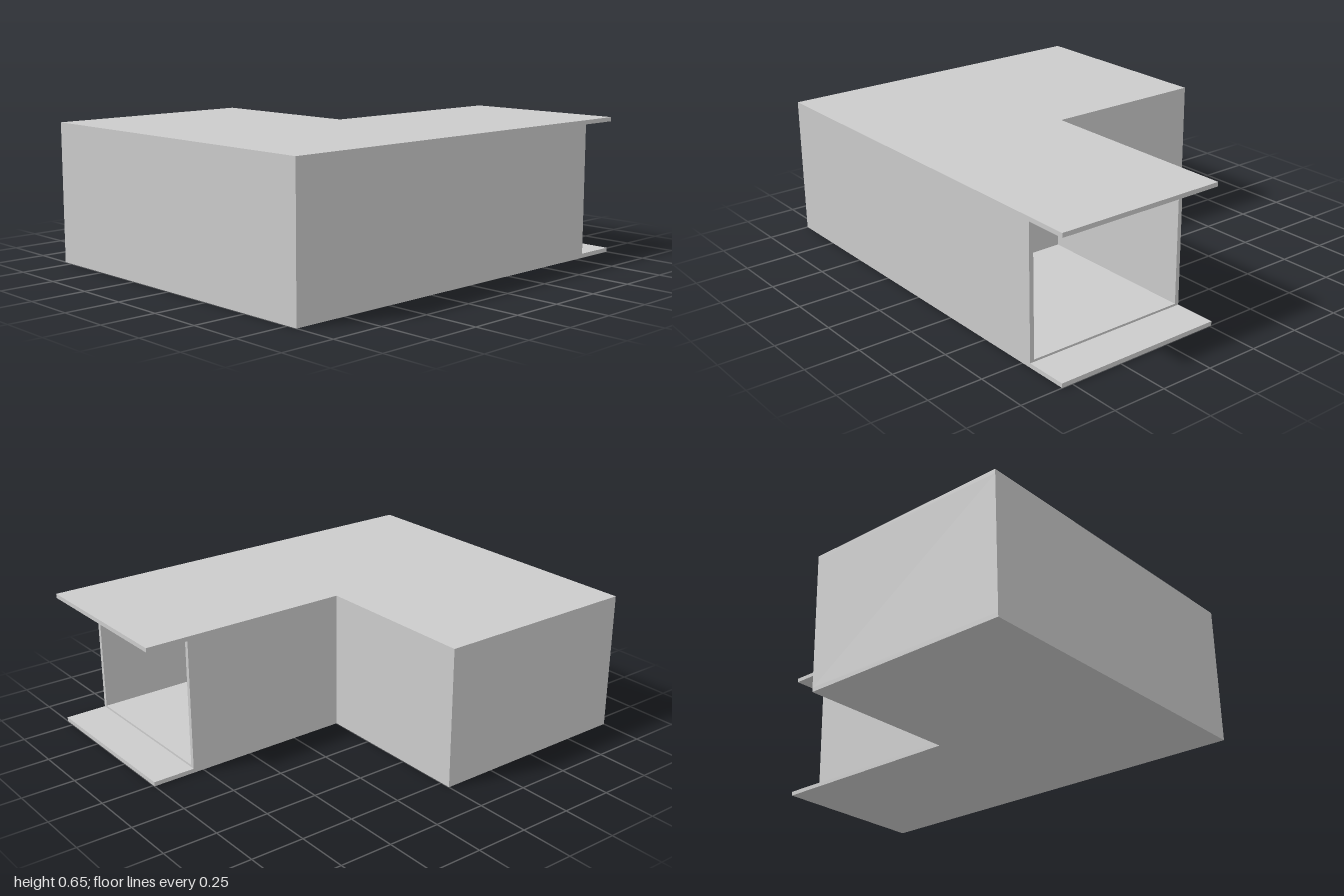
import * as THREE from 'three';

const WALL = 0.02, HEIGHT = 0.65, SLAB = 0.02, FINISH = 0.01;
const NOTCH_Z = -0.01; // rear face of the long wing
const OPEN_X = 0.8;    // walls stop here, slabs run on to x = 1

export function createModel() {
  const group = new THREE.Group();
  const material = new THREE.MeshStandardMaterial({ color: 0xcccccc, flatShading: true });

  const add = (name, geometry) => {
    const mesh = new THREE.Mesh(geometry, material);
    mesh.name = name;
    group.add(mesh);
    return mesh;
  };

  // Horizontal L-shaped plate; inset shrinks it inside the walls
  const plate = (name, y, thickness, endX, inset = 0) => {
    const outline = [
      [-1 + inset, -0.8 + inset], [-inset, -0.8 + inset], [-inset, NOTCH_Z + inset],
      [endX, NOTCH_Z + inset], [endX, 0.8 - inset], [-1 + inset, 0.8 - inset],
    ];
    const shape = new THREE.Shape(outline.map(([x, z]) => new THREE.Vector2(x, -z)));
    const geometry = new THREE.ExtrudeGeometry(shape, { depth: thickness, bevelEnabled: false });
    geometry.rotateX(-Math.PI / 2);
    geometry.translate(0, y, 0);
    add(name, geometry);
  };

  plate('floorSlab', 0, SLAB, 1);
  plate('floorFinish', SLAB, FINISH, OPEN_X, WALL);
  plate('roofSlab', HEIGHT - SLAB, SLAB, 1);

  // Upright walls between the slabs
  const wall = (name, x0, x1, z0, z1) => {
    const h = HEIGHT - 2 * SLAB;
    add(name, new THREE.BoxGeometry(x1 - x0, h, z1 - z0))
      .position.set((x0 + x1) / 2, HEIGHT / 2, (z0 + z1) / 2);
  };
  wall('frontWall', -1, OPEN_X, 0.8 - WALL, 0.8);
  wall('rightWall', -1, -1 + WALL, -0.8 + WALL, 0.8 - WALL);
  wall('backWall', -1, 0, -0.8, -0.8 + WALL);
  wall('wingSideWall', -WALL, 0, -0.8 + WALL, NOTCH_Z + WALL);
  wall('wingBackWall', 0, OPEN_X, NOTCH_Z, NOTCH_Z + WALL);

  // Inner partition with a doorway, drawn in (z, y) and turned to face +x
  const floorY = SLAB + FINISH, top = HEIGHT - SLAB;
  const z0 = NOTCH_Z + WALL, z1 = 0.8 - WALL;
  const partition = new THREE.Shape([
    [z0, floorY], [0.3, floorY], [0.3, 0.45], [0.5, 0.45],
    [0.5, floorY], [z1, floorY], [z1, top], [z0, top],
  ].map(([z, y]) => new THREE.Vector2(-z, y)));
  const geometry = new THREE.ExtrudeGeometry(partition, { depth: WALL, bevelEnabled: false });
  geometry.rotateY(Math.PI / 2);
  geometry.translate(-WALL, 0, 0);
  add('doorwayPartition', geometry);

  return group;
}
